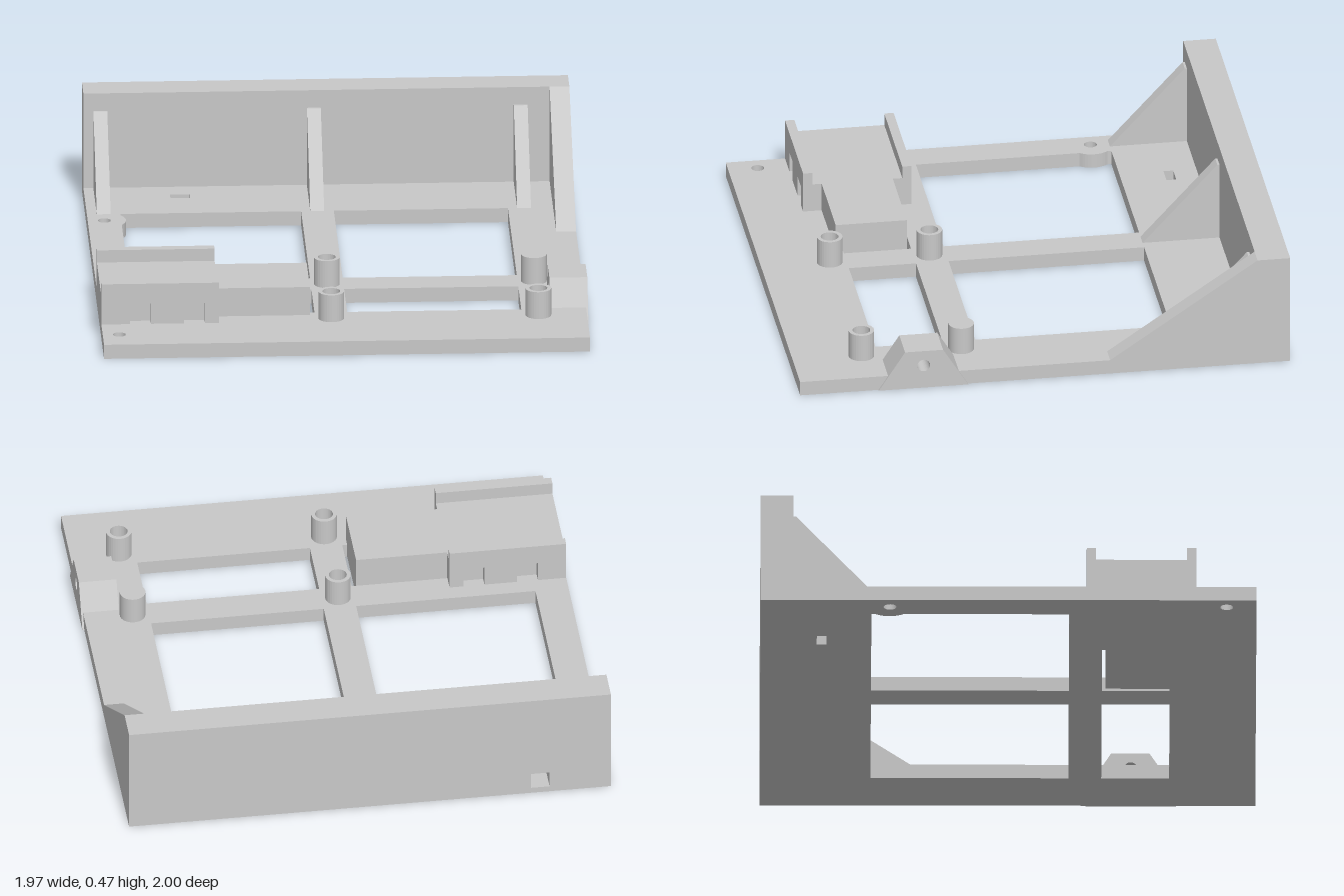
import * as THREE from 'three';

const X0 = -0.985, X1 = 0.977, FLOOR = 0.06, WALL = -0.867;

export function createModel() {
  const model = new THREE.Group();
  model.name = 'mountingBracket';
  const grey = new THREE.MeshStandardMaterial({ color: 0xc8c8c8 });
  grey.name = 'plain grey';

  const add = (name, geometry) => {
    const mesh = new THREE.Mesh(geometry, grey);
    mesh.name = name;
    model.add(mesh);
  };
  const poly = (pts, C = THREE.Path) => new C(pts.map(([x, y]) => new THREE.Vector2(x, y)));
  const rect = (a, b, c, d) => [[a, c], [b, c], [b, d], [a, d]];
  const circle = (x, y, r) => new THREE.Path().absarc(x, y, r, 0, Math.PI * 2, true);
  const extrude = (shape, depth) =>
    new THREE.ExtrudeGeometry(shape, { depth, bevelEnabled: false, curveSegments: 16 });
  // box from its limits on each axis
  const box = (name, x0, x1, y0, y1, z0, z1) =>
    add(name, new THREE.BoxGeometry(x1 - x0, y1 - y0, z1 - z0)
      .translate((x0 + x1) / 2, (y0 + y1) / 2, (z0 + z1) / 2));
  // plan outline of [x, z] points
  const plan = (pts, C) => poly(pts.map(([x, z]) => [x, -z]), C);
  // side profile of [z, y] points, extruded along x
  const side = (name, pts, x0, x1, holes = []) => {
    const shape = poly(pts.map(([z, y]) => [-z, y]), THREE.Shape);
    shape.holes.push(...holes);
    add(name, extrude(shape, x1 - x0).rotateY(Math.PI / 2).translate(x0, 0, 0));
  };

  // Base plate with windows, screw holes and a slot (outline counter-clockwise)
  const base = plan(rect(X0, X1, 1, WALL), THREE.Shape);
  const ear = [];
  for (let i = 0; i <= 10; i++) {
    const a = -0.68 + 0.136 * i;
    ear.push([-0.92 + 0.09 * Math.cos(a), -0.48 + 0.09 * Math.sin(a)]);
  }
  base.holes.push(
    plan([[-0.85, -0.553], ...ear, [-0.85, 0.245], [-0.12, 0.245], [-0.12, -0.553]]),
    plan(rect(0.012, 0.715, -0.553, 0.245)),
    plan(rect(0.012, 0.715, 0.378, 0.652)),
    plan([[-0.51, 0.378], [-0.12, 0.378], [-0.12, 0.652], [-0.14, 0.652], [-0.14, 0.392], [-0.51, 0.392]]),
    plan(rect(-0.64, -0.56, -0.773, -0.733)),
    circle(-0.918, 0.478, 0.026),
    circle(-0.918, -0.88, 0.026),
  );
  add('basePlate', extrude(base, FLOOR).rotateX(-Math.PI / 2));

  // Back wall with a blind square pocket in its rear face
  const wall = poly(rect(X0, X1, 0, 0.465), THREE.Shape);
  wall.holes.push(poly(rect(-0.735, -0.66, 0.025, 0.095)));
  add('backWall', extrude(wall, 0.1).translate(0, 0, -1));
  box('backWallLining', X0, X1, 0, 0.465, -0.9, WALL);

  // Side gusset and three thin ribs
  side('sideGusset', [[WALL, FLOOR], [-0.265, FLOOR], [WALL, 0.465]], 0.897, X1);
  for (const x of [-0.917, -0.055, 0.78]) {
    side('rib', [[WALL, FLOOR], [-0.553, FLOOR], [-0.858, 0.39], [WALL, 0.39]], x - 0.028, x + 0.028);
  }

  // Raised holder body and its notched rails
  box('holderRear', X0, -0.51, FLOOR, 0.18, 0.353, 0.72);
  box('holderBlock', -0.51, -0.14, FLOOR, 0.18, 0.392, 0.682);
  const rail = [[X0, FLOOR], [-0.87, FLOOR], [-0.87, 0.146], [-0.785, 0.146], [-0.785, FLOOR],
    [-0.652, FLOOR], [-0.652, 0.146], [-0.567, 0.146], [-0.567, FLOOR], [-0.51, FLOOR],
    [-0.51, 0.232], [X0, 0.232]];
  for (const z of [0.315, 0.72]) {
    add('holderRail', extrude(poly(rail, THREE.Shape), 0.038).translate(0, 0, z));
  }

  // Standoff posts, one of them solid
  for (const [x, z, solid] of [[-0.055, 0.313], [-0.055, 0.72], [0.781, 0.72], [0.781, 0.313, true]]) {
    let post;
    if (solid) {
      post = new THREE.CylinderGeometry(0.052, 0.052, 0.115, 32).translate(0, 0.1175, 0);
    } else {
      const ring = new THREE.Shape().absarc(0, 0, 0.052, 0, Math.PI * 2);
      ring.holes.push(circle(0, 0, 0.036));
      post = extrude(ring, 0.115).rotateX(-Math.PI / 2).translate(0, FLOOR, 0);
    }
    add('standoffPost', post.translate(x, 0, z));
  }

  // Pivot lug on the edge of the plate
  side('pivotLug', [[0.315, 0], [0.418, 0.165], [0.573, 0.165], [0.68, 0]], 0.832, 0.985,
    [circle(-0.497, 0.1, 0.026)]);

  return model;
}
